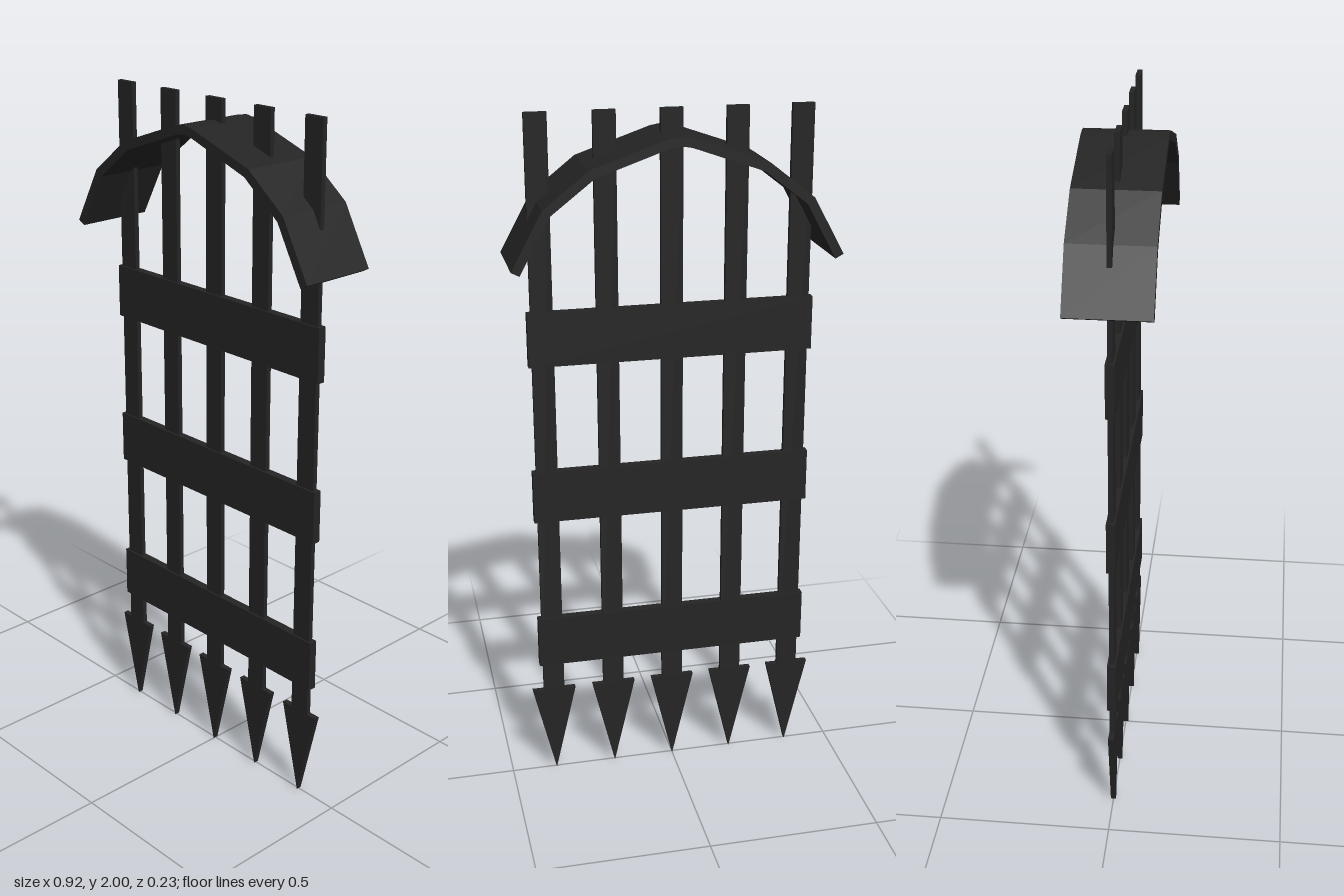
import * as THREE from 'three';

export function createModel() {
  const group = new THREE.Group();
  group.name = 'spikedGate';
  const iron = new THREE.MeshStandardMaterial({ color: 0x242424 });
  iron.name = 'blackIron';

  const add = (name, geometry, x = 0, y = 0) => {
    const mesh = new THREE.Mesh(geometry, iron);
    mesh.name = name;
    mesh.position.set(x, y, 0);
    group.add(mesh);
  };

  // Extrude an outline, centred on z = 0
  const plate = (points, depth) => {
    const shape = new THREE.Shape(points.map(([x, y]) => new THREE.Vector2(x, y)));
    return new THREE.ExtrudeGeometry(shape, { depth, bevelEnabled: false }).translate(0, 0, -depth / 2);
  };

  // Upright bars with downward spearheads
  const barGeometry = new THREE.BoxGeometry(0.062, 1.73, 0.014);
  const spearGeometry = plate([[-0.065, 0.277], [0, 0], [0.065, 0.277]], 0.016);
  for (let i = -2; i <= 2; i++) {
    add('uprightBar', barGeometry, i * 0.183, 1.135);
    add('spearhead', spearGeometry, i * 0.183, 0);
  }

  // Horizontal bands
  const bandGeometry = new THREE.BoxGeometry(0.815, 0.155, 0.025);
  for (const y of [0.442, 0.912, 1.382]) add('crossBand', bandGeometry, 0, y);

  // Faceted arched hood: outer and inner half-profiles, mirrored
  const outer = [[0.458, 1.605], [0.37, 1.765], [0.245, 1.863], [0.035, 1.935]];
  const inner = [[0.435, 1.593], [0.35, 1.748], [0.23, 1.841], [0.03, 1.911]];
  const mirror = (pts) => pts.map(([x, y]) => [-x, y]).reverse();
  const outerArc = [...outer, [0, 1.941], ...mirror(outer)];
  const innerArc = [...inner, [0, 1.916], ...mirror(inner)];
  add('archedHood', plate([...outerArc, ...innerArc.reverse()], 0.23));

  return group;
}
